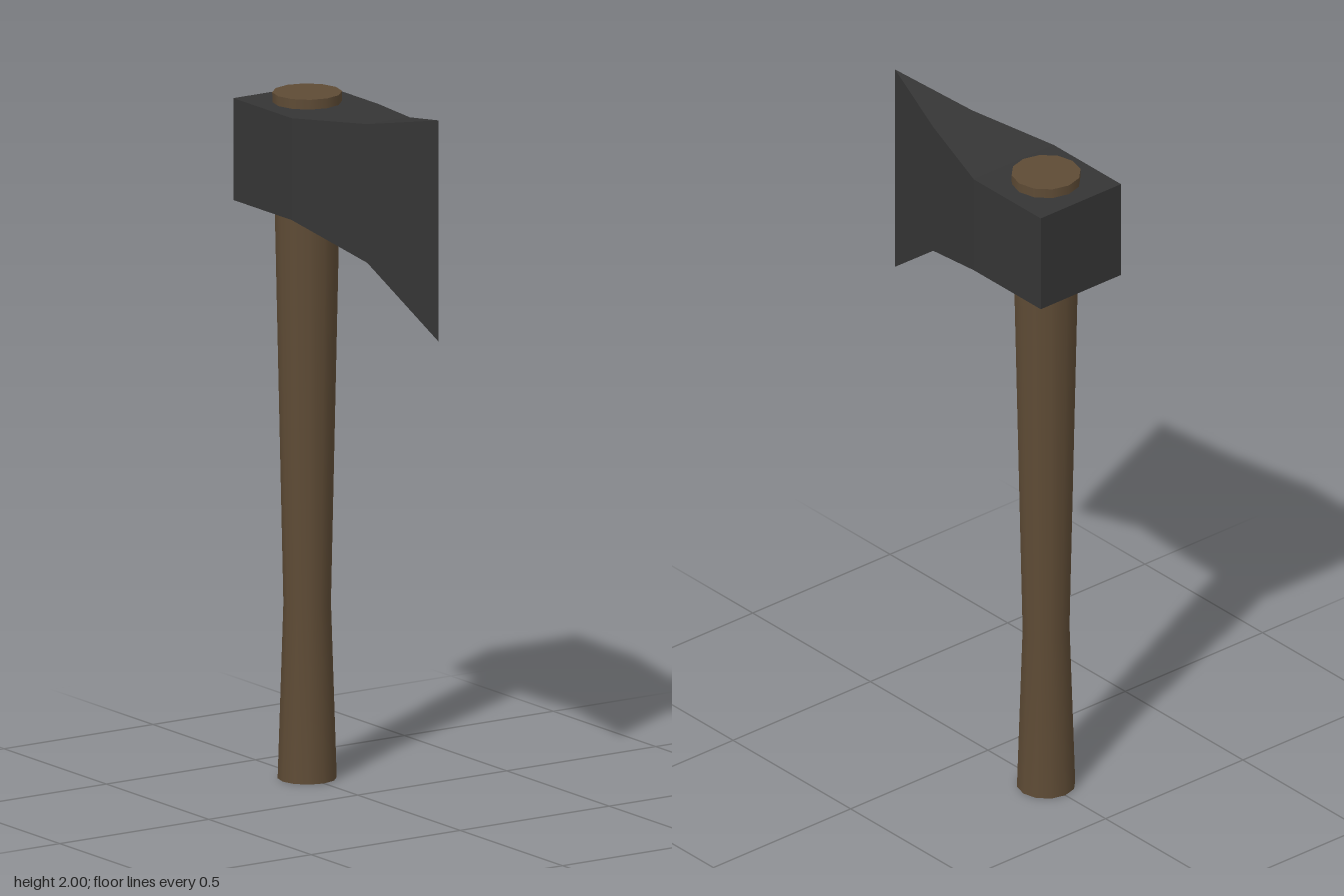
import * as THREE from 'three';

const HANDLE_Z = -0.247;
const SIDES = 12;

// Axe head: rectangular sections [z, half width, bottom, top] joined from poll to edge
function headGeometry() {
  const sections = [
    [-0.395, 0.146, 1.635, 1.925],
    [-0.11, 0.146, 1.635, 1.925],
    [0.15, 0.071, 1.555, 1.95],
    [0.395, 0, 1.37, 2],
  ];
  const loops = sections.map(([z, w, b, t]) =>
    [[-w, b], [w, b], [w, t], [-w, t]].map(([x, y]) => new THREE.Vector3(x, y, z)));
  const points = [];
  const tri = (a, b, c) => {
    if (!a.equals(b) && !b.equals(c) && !c.equals(a)) points.push(a, b, c);
  };
  const quad = (a, b, c, d) => { tri(a, b, c); tri(a, c, d); };
  for (let i = 0; i < loops.length - 1; i++) {
    const p = loops[i], q = loops[i + 1];
    for (let k = 0; k < 4; k++) {
      const n = (k + 1) % 4;
      quad(p[k], p[n], q[n], q[k]);
    }
  }
  const [a, b, c, d] = loops[0];
  quad(a, d, c, b);
  const geometry = new THREE.BufferGeometry().setFromPoints(points);
  geometry.computeVertexNormals();
  return geometry;
}

export function createModel() {
  const model = new THREE.Group();
  const wood = new THREE.MeshStandardMaterial({ color: 0x5e4b35 });
  const steel = new THREE.MeshStandardMaterial({ color: 0x353535, flatShading: true });
  const add = (parent, name, geometry, material) => {
    const mesh = new THREE.Mesh(geometry, material);
    mesh.name = name;
    parent.add(mesh);
    return mesh;
  };

  add(model, 'axeHead', headGeometry(), steel);

  // Handle: waisted smooth shaft with flat ends
  const handle = new THREE.Group();
  handle.name = 'handle';
  handle.position.z = HANDLE_Z;
  model.add(handle);
  const profile = [[0.082, 0], [0.066, 0.5], [0.097, 1.953]].map(([r, y]) => new THREE.Vector2(r, y));
  add(handle, 'handleShaft', new THREE.LatheGeometry(profile, SIDES), wood);
  const top = add(handle, 'handleTop', new THREE.CircleGeometry(0.097, SIDES), wood);
  top.rotation.x = -Math.PI / 2;
  top.position.y = 1.953;
  const bottom = add(handle, 'handleBottom', new THREE.CircleGeometry(0.082, SIDES), wood);
  bottom.rotation.x = Math.PI / 2;

  return model;
}
